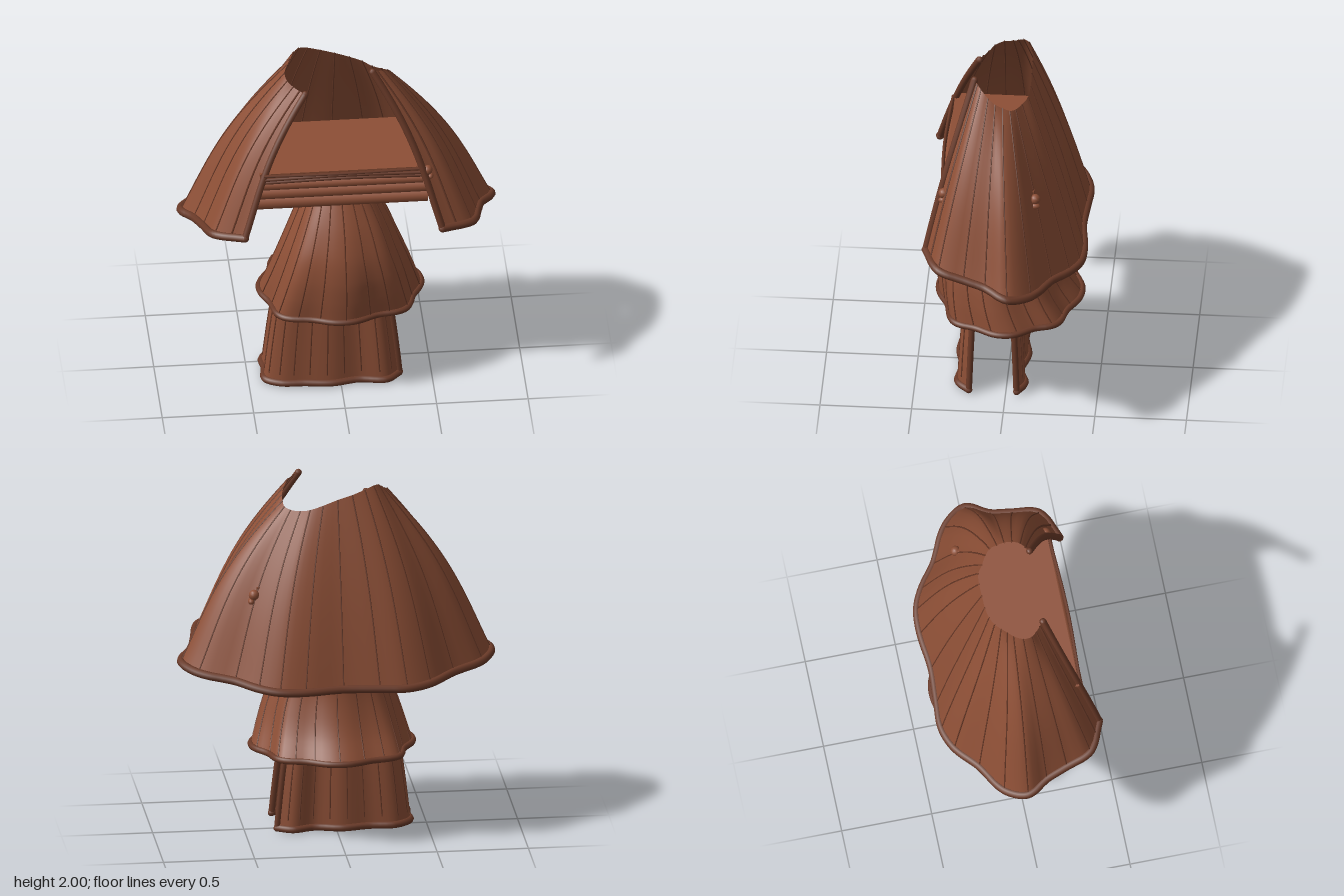
import * as THREE from 'three';
import { ParametricGeometry } from 'three/addons/geometries/ParametricGeometry.js';

const mat = (name, color) => {
  const m = new THREE.MeshStandardMaterial({ color, side: THREE.DoubleSide });
  m.name = name;
  return m;
};
const V = (x, y, z) => new THREE.Vector3(x, y, z);

export function createModel() {
  const root = new THREE.Group();
  const cloth = mat('brown cloth', 0x8d4f36);
  const trim = mat('dark brown trim', 0x6a3a28);

  const add = (parent, name, geo, material, pos) => {
    const m = new THREE.Mesh(geo, material);
    m.name = name;
    if (pos) m.position.copy(pos);
    parent.add(m);
    return m;
  };

  // Rounded cord through a list of points
  const cord = (parent, name, pts, r, closed = false, sides = 8) => {
    const curve = new THREE.CatmullRomCurve3(pts, closed);
    add(parent, name, new THREE.TubeGeometry(curve, pts.length * 3, r, sides, closed), trim);
    if (!closed && r > 0.01) for (const p of [pts[0], pts[pts.length - 1]]) {
      add(parent, name + 'End', new THREE.SphereGeometry(r, 8, 6), trim, p);
    }
  };

  // Cloth surface P(u, v): u runs round, v runs from top to hem
  const garment = (name, P, around, seams, closed, hemR, hemEnd = 1) => {
    const g = new THREE.Group();
    g.name = name;
    root.add(g);
    add(g, name + 'Cloth', new ParametricGeometry((u, v, t) => t.copy(P(u, v)), around, 24), cloth);
    const line = (u, a, b, n) => Array.from({ length: n + 1 }, (_, i) => P(u, a + (b - a) * i / n));
    for (let k = closed ? 0 : 1; k < seams; k++) {
      cord(g, name + 'Seam', line(k / seams, 0, hemEnd, 8), 0.0042, false, 5);
    }
    const hem = Array.from({ length: closed ? around : around + 1 }, (_, i) => P(i / around, 1));
    cord(g, name + 'Hem', hem, hemR, closed);
    if (!closed) for (const u of [0, 1]) cord(g, name + 'FrontEdge', line(u, 0, 1, 10), hemR * 0.85);
    return g;
  };

  // Cape: neck x, y, z and hem x, z, from right front edge round the back to left front edge
  const fold = [
    [-0.19, 1.86, 0.18, -0.54, 0.42], [-0.25, 1.88, 0.13, -0.70, 0.34],
    [-0.28, 1.90, 0.10, -0.75, 0.20], [-0.29, 1.92, 0.05, -0.79, 0.08],
    [-0.27, 1.94, 0.00, -0.85, -0.035], [-0.25, 1.96, -0.03, -0.79, -0.155],
    [-0.23, 1.98, -0.06, -0.62, -0.26], [-0.20, 1.985, -0.09, -0.48, -0.37],
    [-0.15, 1.97, -0.11, -0.35, -0.415], [-0.08, 1.945, -0.12, -0.20, -0.41],
    [0, 1.92, -0.12, 0, -0.40],
    [0.08, 1.89, -0.12, 0.21, -0.42], [0.15, 1.865, -0.11, 0.35, -0.41],
    [0.20, 1.85, -0.08, 0.46, -0.36], [0.25, 1.85, -0.05, 0.58, -0.27],
    [0.28, 1.86, -0.02, 0.77, -0.17], [0.285, 1.88, 0.02, 0.85, -0.045],
    [0.285, 1.90, 0.06, 0.78, 0.08], [0.27, 1.93, 0.10, 0.75, 0.20],
    [0.24, 1.965, 0.14, 0.71, 0.34], [0.18, 1.985, 0.18, 0.54, 0.42],
  ];
  const neck = new THREE.CatmullRomCurve3(fold.map(f => V(f[0], f[1], f[2])));
  const capeHem = new THREE.CatmullRomCurve3(fold.map(f => V(f[3], 1.01 + 0.21 * f[4], f[4])));
  const capeAt = (u, v) => {
    const a = neck.getPoint(u), b = capeHem.getPoint(u), swell = Math.sin(Math.PI * v);
    const sx = v + 0.16 * swell * (1 - 0.5 * v), sz = v + 0.055 * swell;
    return V(a.x + (b.x - a.x) * sx, a.y + (b.y - a.y) * v, a.z + (b.z - a.z) * sz);
  };
  const cape = garment('cape', capeAt, 60, 20, false, 0.023);
  // Flat facing bands beside the cape's front edges
  for (const u of [0.022, 0.978]) {
    cord(cape, 'facingSeam', Array.from({ length: 9 }, (_, i) => capeAt(u, i / 8)), 0.006, false, 5);
  }

  // Small toggles on the left side of the cape, each a knob with a flat loop
  for (const [x, y, z] of [[0.465, 1.425, 0.328], [0.465, 1.41, -0.172]]) {
    add(root, 'button', new THREE.SphereGeometry(0.029, 12, 8), cloth, V(x, y, z));
    const loop = add(root, 'buttonLoop', new THREE.SphereGeometry(0.022, 12, 8), cloth, V(x + 0.016, y - 0.035, z));
    loop.scale.set(0.8, 0.8, 1.3);
  }

  // Shoulder platform inside the cape
  add(root, 'platform', new THREE.BoxGeometry(0.9, 0.21, 0.495), cloth, V(0, 1.345, 0.0825));
  // Rolled front of the platform
  [[1.265, 0.036, 0.93], [1.325, 0.032, 0.92], [1.375, 0.026, 0.88]].forEach(([y, r, w]) => {
    add(root, 'platformRoll', new THREE.CylinderGeometry(r, r, w, 12).rotateZ(Math.PI / 2), cloth, V(0, y, 0.328));
  });
  for (const [y, rise] of [[1.4, 0.018], [1.418, 0.018], [1.443, 0.004]]) {
    cord(root, 'platformPiping', [V(-0.43, y, 0.34), V(0, y + rise, 0.355), V(0.43, y, 0.34)], 0.009, false, 6);
  }

  // Middle skirt: y, min x, max x, min z, max z from waist to hem
  const rings = [
    [1.27, -0.11, 0.12, -0.17, 0.13], [1.12, -0.185, 0.205, -0.19, 0.23],
    [1.0, -0.24, 0.27, -0.20, 0.30], [0.86, -0.30, 0.33, -0.215, 0.36],
    [0.74, -0.345, 0.38, -0.25, 0.385], [0.62, -0.385, 0.42, -0.305, 0.39],
    [0.49, -0.425, 0.46, -0.395, 0.385],
  ];
  const lowX = new THREE.CatmullRomCurve3(rings.map(r => V(r[1], r[0], r[3])));
  const highX = new THREE.CatmullRomCurve3(rings.map(r => V(r[2], r[0], r[4])));
  const full = c => Math.sign(c) * Math.abs(c) ** 0.87;
  const skirtAt = (u, v) => {
    const a = lowX.getPoint(v), b = highX.getPoint(v), t = u * Math.PI * 2;
    // Folds, with the back left corner drawn in and the front right one let out
    const wave = 1 + 0.04 * v * (Math.cos(8 * t) - 1) + 0.05 * v * Math.sin(2 * t) * Math.cos(t - 0.75 * Math.PI);
    return V((a.x + b.x) / 2 + (b.x - a.x) / 2 * full(Math.sin(t)) * wave, a.y,
      (a.z + b.z) / 2 + (b.z - a.z) / 2 * full(Math.cos(t)) * wave);
  };
  garment('middleSkirt', skirtAt, 66, 22, true, 0.018);

  // Lower skirt: a folded panel left open at the model's left side
  const foot = new THREE.CatmullRomCurve3([
    [0.325, 0.2], [0.25, 0.265], [0.1, 0.25], [-0.05, 0.275], [-0.2, 0.26], [-0.33, 0.25], [-0.41, 0.2],
    [-0.405, 0.1], [-0.41, 0], [-0.33, -0.075], [-0.18, -0.075], [-0.03, -0.1], [0.12, -0.07], [0.24, -0.1], [0.325, -0.06],
  ].map(([x, z]) => V(x, 0.025, z)));
  const footAt = (u, v) => {
    const p = foot.getPoint(u), s = 0.55 + 0.45 * Math.sqrt(v);
    return V(-0.03 + (p.x + 0.03) * s, 0.85 - 0.825 * v, 0.09 + (p.z - 0.09) * s);
  };
  garment('lowerSkirt', footAt, 66, 22, false, 0.02, 0.94);

  return root;
}
